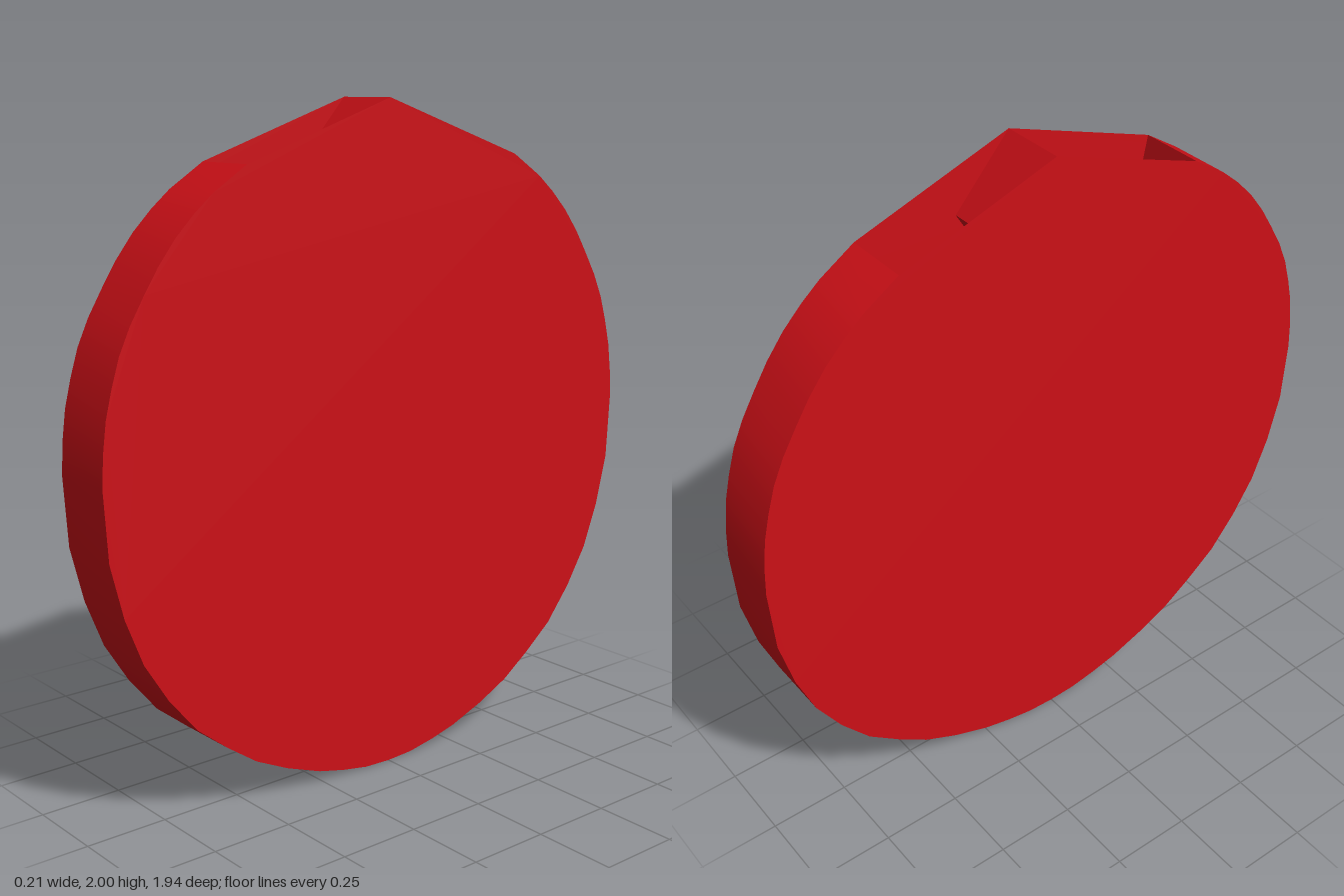
import * as THREE from 'three';
import { toCreasedNormals } from 'three/addons/utils/BufferGeometryUtils.js';

const HALF = 0.103; // half thickness

// Half outlines as [z, y], mirrored across z = 0
const rimHalf = [
  [0.5, 1.83], [0.61, 1.76], [0.67, 1.71], [0.73, 1.65], [0.785, 1.58], [0.83, 1.51],
  [0.875, 1.435], [0.91, 1.36], [0.935, 1.28], [0.955, 1.2], [0.967, 1.11], [0.972, 1.02],
  [0.96, 0.82], [0.92, 0.66], [0.865, 0.52], [0.79, 0.4], [0.7, 0.29],
  [0.6, 0.21], [0.5, 0.14], [0.39, 0.087], [0.27, 0.042], [0.18, 0.02], [0.09, 0.004], [0, 0],
];
// From the tip, under its barb, over the inner ridge and out to the rim
const notchHalf = [
  [0, 2], [0.18, 1.8], [0.12, 1.7], [0.1, 1.24], [0.26, 1.4], [0.37, 1.2], [0.5, 1.83],
];

const mirror = (points) => points.map(([z, y]) => [-z, y]).reverse();

// Wall across the thickness, following a clockwise [z, y] path
function wall(path, crease) {
  const v = [];
  for (let i = 0; i < path.length - 1; i++) {
    const [z0, y0] = path[i];
    const [z1, y1] = path[i + 1];
    const a = [HALF, y0, z0], b = [-HALF, y0, z0];
    const c = [HALF, y1, z1], d = [-HALF, y1, z1];
    v.push(...a, ...b, ...c, ...b, ...d, ...c);
  }
  const geometry = new THREE.BufferGeometry();
  geometry.setAttribute('position', new THREE.Float32BufferAttribute(v, 3));
  return toCreasedNormals(geometry, crease);
}

export function createModel() {
  const group = new THREE.Group();
  group.name = 'pointedDisc';
  const red = new THREE.MeshStandardMaterial({ color: 0xcc1017, side: THREE.DoubleSide });

  const add = (name, geometry) => {
    const mesh = new THREE.Mesh(geometry, red);
    mesh.name = name;
    group.add(mesh);
    return mesh;
  };

  const rim = [...rimHalf, ...mirror(rimHalf).slice(1)];
  const notch = [...mirror(notchHalf), ...notchHalf.slice(1)];

  // Flat side plates reach the tip and cover the notches
  const outline = new THREE.Shape([...rim, [0, 2]].map(([z, y]) => new THREE.Vector2(z, y)));
  for (const side of [1, -1]) {
    const plate = new THREE.ShapeGeometry(outline).rotateY((side * Math.PI) / 2);
    add(side > 0 ? 'leftPlate' : 'rightPlate', plate).position.x = side * HALF;
  }

  // Smooth round rim, and the sharp walls recessed between the plates
  add('rim', wall(rim, 0.6));
  add('notchWalls', wall(notch, 0.2));
  return group;
}
